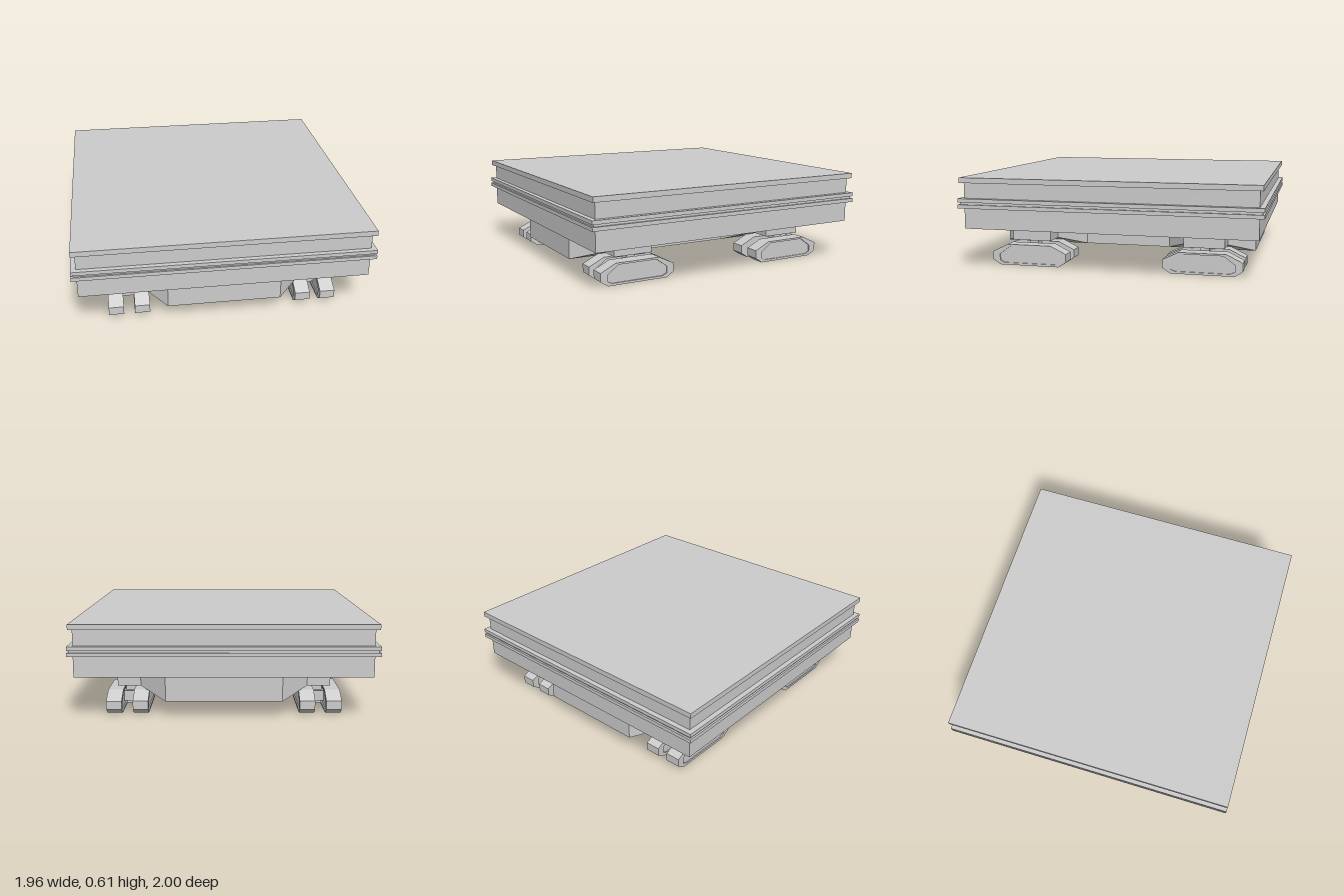
import * as THREE from 'three';
import { ConvexGeometry } from 'three/addons/geometries/ConvexGeometry.js';

const grey = new THREE.MeshStandardMaterial({ color: 0xcccccc, flatShading: true });
const greyDouble = new THREE.MeshStandardMaterial({ color: 0xcccccc, flatShading: true, side: THREE.DoubleSide });

function add(parent, name, geometry, material = grey) {
  const mesh = new THREE.Mesh(geometry, material);
  mesh.name = name;
  parent.add(mesh);
  return mesh;
}

// Box given by its lower and upper limits on each axis
function box(parent, name, [x0, x1], [y0, y1], [z0, z1]) {
  const mesh = add(parent, name, new THREE.BoxGeometry(x1 - x0, y1 - y0, z1 - z0));
  mesh.position.set((x0 + x1) / 2, (y0 + y1) / 2, (z0 + z1) / 2);
  return mesh;
}

// Slab centred on the vertical axis
const slab = (parent, name, hx, hz, y0, y1) => box(parent, name, [-hx, hx], [y0, y1], [-hz, hz]);

const points = (list) => list.map(([a, b]) => new THREE.Vector2(a, b));
const rect = (x0, x1, y0, y1) => points([[x0, y0], [x1, y0], [x1, y1], [x0, y1]]);

// Side outlines of a track (z from its centre, y): belt and inset panel
const BELT = points([[-0.262, 0.035], [-0.21, 0], [0.21, 0], [0.262, 0.035],
  [0.262, 0.09], [0.155, 0.142], [-0.155, 0.142], [-0.262, 0.09]]);
const PANEL = points([[-0.212, 0.03], [-0.18, 0.015], [0.18, 0.015], [0.212, 0.03],
  [0.212, 0.075], [0.135, 0.13], [-0.135, 0.13], [-0.212, 0.075]]);

function extrudeAcross(shape, width) {
  const g = new THREE.ExtrudeGeometry(shape, { depth: width, bevelEnabled: false });
  return g.translate(0, 0, -width / 2).rotateY(Math.PI / 2);
}

function createTrack() {
  const track = new THREE.Group();
  track.name = 'track';
  const belt = new THREE.Shape(BELT);
  belt.holes.push(new THREE.Path(PANEL));
  add(track, 'trackBelt', extrudeAcross(belt, 0.1));
  add(track, 'trackPanel', extrudeAcross(new THREE.Shape(PANEL), 0.084));
  return track;
}

// Pair of tracks hung from a central post
function createBogie() {
  const bogie = new THREE.Group();
  bogie.name = 'bogie';
  for (const side of [-1, 1]) {
    const track = createTrack();
    track.position.x = side * 0.086;
    bogie.add(track);
  }
  box(bogie, 'post', [-0.032, 0.032], [0.02, 0.17], [-0.03, 0.03]);
  box(bogie, 'axle', [-0.05, 0.05], [0.04, 0.11], [-0.06, 0.06]);
  return bogie;
}

// Arm tapering from the hull to a corner block; sx and sz pick the corner
function createArm(sx, sz) {
  const arm = new THREE.Group();
  arm.name = 'arm';
  const corners = [];
  for (const [x, y, z0, z1] of [[0.375, 0.1, 0.3, 0.9], [0.55, 0.165, 0.46, 0.73]]) {
    for (const z of [z0, z1]) {
      corners.push(new THREE.Vector3(sx * x, y, sz * z), new THREE.Vector3(sx * x, 0.272, sz * z));
    }
  }
  add(arm, 'armTaper', new ConvexGeometry(corners));
  const block = add(arm, 'armBlock', new THREE.BoxGeometry(0.154, 0.107, 0.27));
  block.position.set(sx * 0.625, 0.2185, sz * 0.595);
  return arm;
}

// Central hull with pyramid-shaped recesses along both ends of its underside
function createHull() {
  const hull = new THREE.Group();
  hull.name = 'hull';
  const outline = new THREE.Shape(rect(-0.375, 0.375, -0.9, 0.9));
  for (const sx of [-1, 1]) {
    for (const sz of [-1, 1]) {
      const x = sx * 0.187, z = sz * 0.81;
      outline.holes.push(new THREE.Path(rect(x - 0.178, x + 0.178, -z - 0.07, -z + 0.07)));
      const pyramid = new THREE.ConeGeometry(Math.SQRT1_2, 1, 4, 1, true);
      pyramid.rotateY(Math.PI / 4).translate(0, 0.5, 0).scale(0.356, 0.07, 0.14);
      add(hull, 'recess', pyramid, greyDouble).position.set(x, 0.1, z);
    }
  }
  const body = new THREE.ExtrudeGeometry(outline, { depth: 0.172, bevelEnabled: false });
  body.rotateX(-Math.PI / 2).translate(0, 0.1, 0);
  add(hull, 'hullBody', body);
  return hull;
}

export function createModel() {
  const model = new THREE.Group();
  model.name = 'trackedPlatform';

  // Deck with its overhanging top and two rails
  slab(model, 'deckBody', 0.945, 0.967, 0.272, 0.6);
  slab(model, 'deckTop', 0.97, 0.99, 0.578, 0.613);
  slab(model, 'lowerRail', 0.978, 1, 0.41, 0.435);
  slab(model, 'railCore', 0.966, 0.988, 0.43, 0.455);
  slab(model, 'upperRail', 0.978, 1, 0.45, 0.475);

  model.add(createHull());

  // Arm and bogie at each corner
  for (const sx of [-1, 1]) {
    for (const sz of [-1, 1]) {
      model.add(createArm(sx, sz));
      const bogie = createBogie();
      bogie.position.set(sx * 0.627, 0, sz * 0.593);
      model.add(bogie);
    }
  }
  return model;
}
